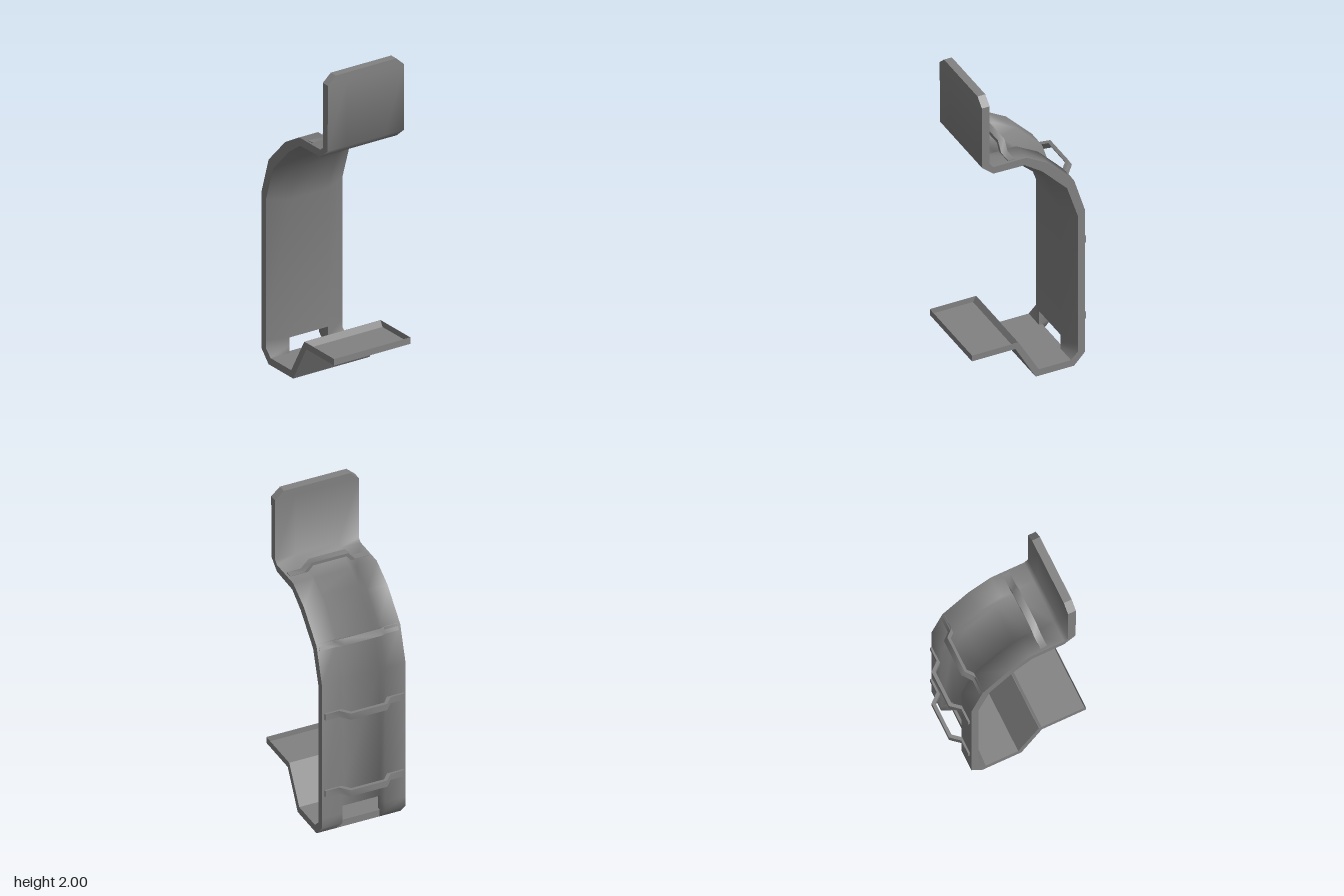
import * as THREE from 'three';
import { mergeGeometries, toCreasedNormals } from 'three/addons/utils/BufferGeometryUtils.js';

const W = 0.265; // half width of the strip
const C = 0.135; // half width of the recessed channel
const material = new THREE.MeshStandardMaterial({ color: 0x828282 });

function part(name, geometry, crease) {
  const mesh = new THREE.Mesh(toCreasedNormals(geometry, crease), material);
  mesh.name = name;
  return mesh;
}

const shapeOf = (pts) => new THREE.Shape(pts.map(([x, y]) => new THREE.Vector2(x, y)));

// Skin an open grid of points, row by row
function skin(rows) {
  const pos = [];
  for (let i = 0; i < rows.length - 1; i++) {
    const s = rows[i], t = rows[i + 1];
    for (let k = 0; k < s.length - 1; k++) {
      for (const p of [s[k], s[k + 1], t[k + 1], s[k], t[k + 1], t[k]]) pos.push(...p);
    }
  }
  const geo = new THREE.BufferGeometry();
  geo.setAttribute('position', new THREE.Float32BufferAttribute(pos, 3));
  return geo;
}

// Stations down the strip, [z, y]: o outer rail, n inner rail, r channel back, b channel front
const stations = [
  { w: 0.21, o: [0.284, 2], n: [0.334, 2] },
  { w: W, o: [0.284, 1.95], n: [0.334, 1.95] },
  { w: W, o: [0.284, 1.545], n: [0.332, 1.54] },
  { w: W, o: [0.26, 1.525], n: [0.26, 1.48] },
  { w: W, o: [0.05, 1.525], n: [0.06, 1.476], r: [0.12, 1.47], b: [0.13, 1.45] },
  { w: W, o: [-0.09, 1.445], n: [-0.05, 1.4], r: [0.02, 1.415], b: [0.03, 1.397] },
  { w: W, o: [-0.255, 1.275], n: [-0.21, 1.235], r: [-0.168, 1.245], b: [-0.15, 1.235] },
  { w: W, o: [-0.325, 1.05], n: [-0.28, 1.02], r: [-0.255, 1.0], b: [-0.235, 1.0] },
  { w: W, o: [-0.325, 0.14], n: [-0.28, 0.14], r: [-0.255, 0.14], b: [-0.235, 0.14] },
  { w: W, o: [-0.325, 0.075], n: [-0.28, 0.09], b: [-0.235, 0.09] },
  { w: W, o: [-0.255, 0], n: [-0.235, 0.045], b: [-0.235, 0.045] },
];
const upper = stations.slice(0, 9); // down to the window
const lower = stations.slice(8); // rails beside the window

// Skin part of the cross-section; each column is [side or channel x, key]
function sheet(list, columns) {
  return skin(list.map((s) => columns.map(([x, key]) => {
    const [z, y] = s[key] ?? (key === 'r' ? s.o : s.n);
    return [Math.abs(x) === W ? Math.sign(x) * s.w : x, y, z];
  })));
}

// Hat-shaped guide strap standing off the back surface
function strap(z, y, tilt) {
  const half = [[0.25, 0.003], [0.25, 0.015], [0.163, 0.015], [0.115, 0.07]];
  const under = [[0.105, 0.05], [0.145, 0.003]];
  const mirror = (pts) => pts.map(([x, h]) => [-x, h]).reverse();
  const outline = [...half, ...mirror(half), ...mirror(under), ...under];
  const g = new THREE.ExtrudeGeometry(shapeOf(outline), { depth: 0.042, bevelEnabled: false });
  const mesh = part('guideStrap', g.translate(0, 0, -0.021), 1);
  mesh.position.set(0, y, z);
  mesh.rotation.x = tilt;
  return mesh;
}

export function createModel() {
  const model = new THREE.Group();
  model.name = 'bracket';

  // Back surface of plate, rails and channel, with the window jambs
  model.add(part('stripBack', mergeGeometries([
    sheet(upper, [[-W, 'o'], [-C, 'o'], [-C, 'r'], [C, 'r'], [C, 'o'], [W, 'o']]),
    sheet(lower, [[-W, 'o'], [-C, 'o'], [-C, 'b']]),
    sheet(lower, [[C, 'b'], [C, 'o'], [W, 'o']]),
  ]), 3));

  // Front surface
  model.add(part('stripFront', mergeGeometries([
    sheet(upper, [[W, 'n'], [C, 'b'], [-C, 'b'], [-W, 'n']]),
    sheet(lower, [[W, 'n'], [C, 'b']]),
    sheet(lower, [[-C, 'b'], [-W, 'n']]),
  ]), 3));

  // Side edges, top edge and window head
  const [top] = stations, head = upper[8];
  const level = (x, [z, y]) => [[-x, y, z], [x, y, z]];
  model.add(part('stripEdges', mergeGeometries([
    sheet(stations, [[W, 'o'], [W, 'n']]),
    sheet(stations, [[-W, 'n'], [-W, 'o']]),
    skin([level(top.w, top.n), level(top.w, top.o)]),
    skin([level(C, head.r), level(C, head.b)]),
  ]), 0.5));

  // Flat foot and sloping riser, a side profile extruded across the width
  const foot = new THREE.ExtrudeGeometry(shapeOf([
    [-0.255, 0], [-0.01, 0], [0.12, 0.23], [0.1, 0.27], [-0.03, 0.045], [-0.255, 0.045],
  ]), { depth: 2 * W, bevelEnabled: false });
  model.add(part('foot', foot.rotateY(-Math.PI / 2).translate(W, 0, 0), 0.9));

  // Shallow open tray at the front: underside, outer walls, inner walls, floor
  const ring = (x, y, front, back) =>
    [[-x, y, front], [x, y, front], [x, y, back], [-x, y, back], [-x, y, front]];
  const inner = W - 0.002;
  model.add(part('frontTray', mergeGeometries([
    skin([level(W, [0.12, 0.23]), level(W, [0.397, 0.23])]),
    skin([
      ring(W, 0.23, 0.397, 0.12),
      ring(W, 0.27, 0.397, 0.1),
      ring(inner, 0.27, 0.395, 0.102),
      ring(inner, 0.235, 0.395, 0.122),
    ]),
    skin([level(inner, [0.395, 0.235]), level(inner, [0.122, 0.235])]),
  ]), 0.3));

  // Guide straps along the back
  const straps = [
    [-0.325, 0.312, -Math.PI / 2],
    [-0.325, 0.835, -Math.PI / 2],
    [-0.246, 1.257, -Math.PI / 3],
    [0.14, 1.514, -0.08],
  ];
  straps.forEach(([z, y, tilt]) => model.add(strap(z, y, tilt)));
  return model;
}
